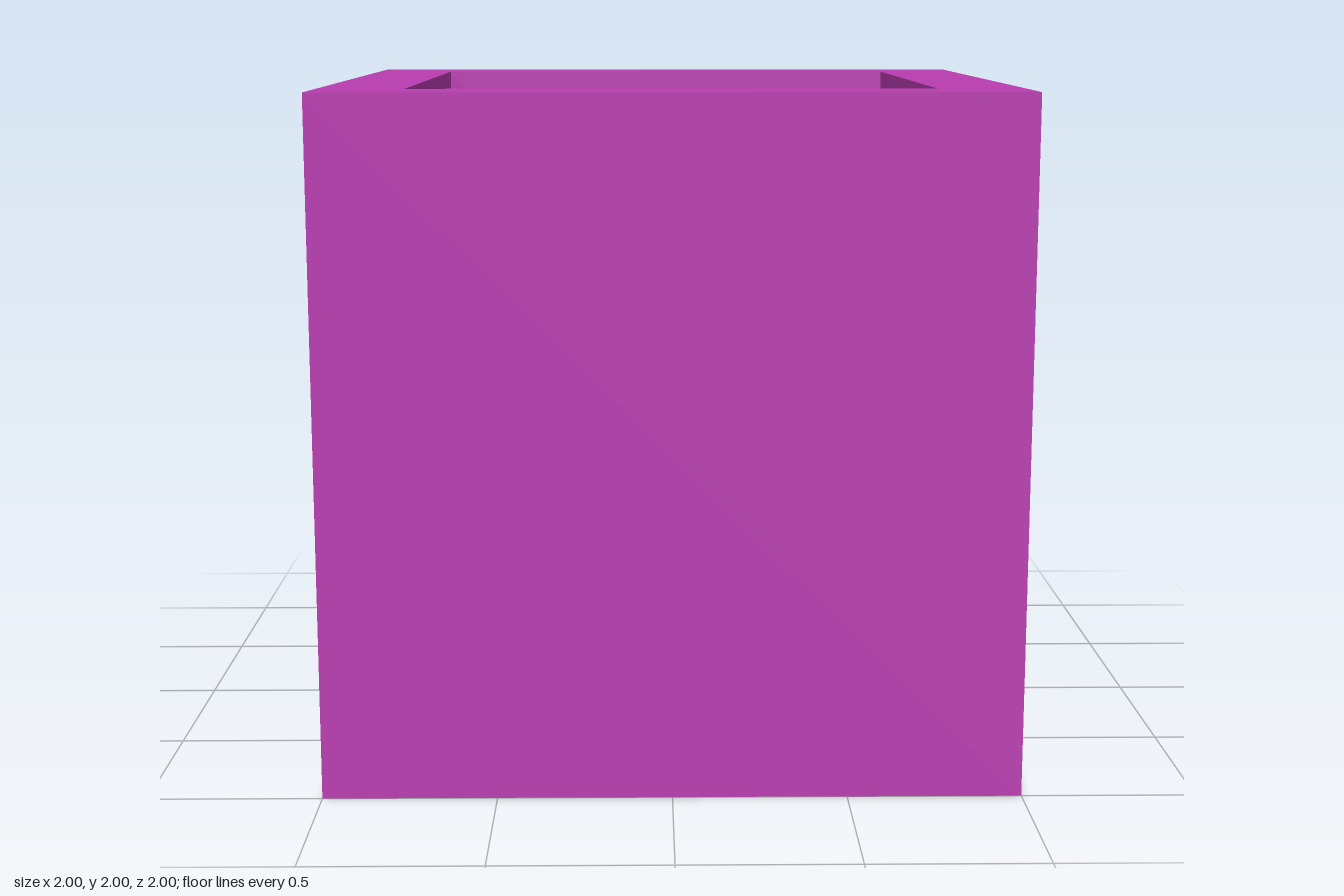
import * as THREE from 'three';

const HALF = 1;         // half of the outer width
const HEIGHT = 2;
const WALL = 0.25;      // wall and floor thickness

export function createModel() {
  const group = new THREE.Group();
  group.name = 'openBox';

  // Cross-section from the underside, up the outside, over the rim and down to the inner floor.
  // Half widths become corner radii, since the section turns through four corners.
  const profile = [
    [0, 0], [HALF, 0], [HALF, HEIGHT],
    [HALF - WALL, HEIGHT], [HALF - WALL, WALL], [0, WALL],
  ].map(([halfWidth, y]) => new THREE.Vector2(halfWidth * Math.SQRT2, y));

  // Four-sided lathe, turned so the flat sides face the axes
  const geometry = new THREE.LatheGeometry(profile, 4, Math.PI / 4).toNonIndexed();
  geometry.computeVertexNormals();

  const box = new THREE.Mesh(
    geometry,
    new THREE.MeshStandardMaterial({ color: 0xb93cb1, flatShading: true }),
  );
  box.name = 'hollowBox';
  group.add(box);

  return group;
}
